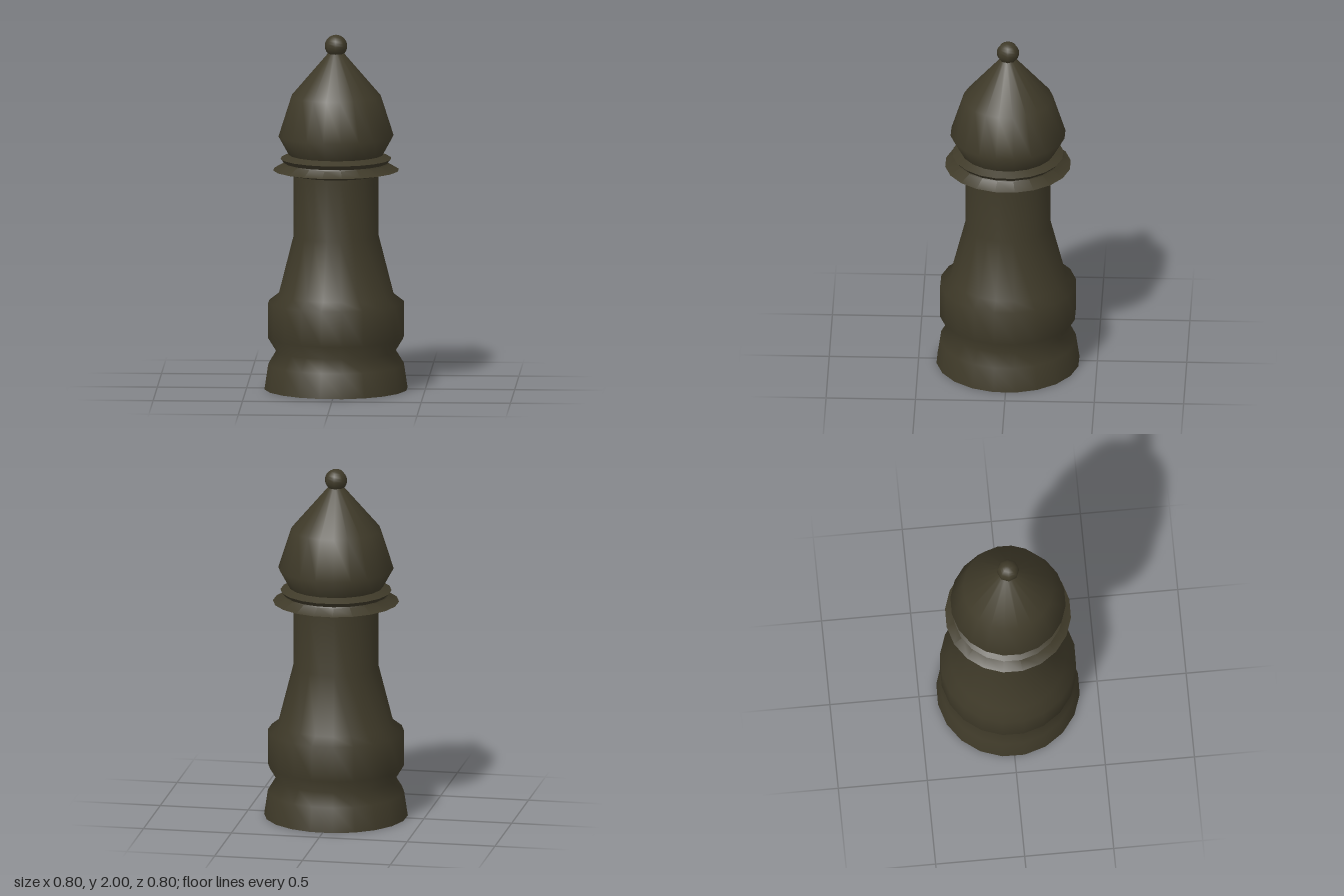
import * as THREE from 'three';
import { toCreasedNormals } from 'three/addons/utils/BufferGeometryUtils.js';

const SIDES = 20;
const TURN = THREE.MathUtils.degToRad(8.1); // angle of the first side's corner

export function createModel() {
  const group = new THREE.Group();
  group.name = 'chessPiece';
  const material = new THREE.MeshStandardMaterial({ color: 0x3f3a29 });

  const add = (name, geometry) => {
    const mesh = new THREE.Mesh(geometry, material);
    mesh.name = name;
    group.add(mesh);
    return mesh;
  };

  // Turned part from [radius, height] pairs, bottom to top
  const turned = (profile) => new THREE.LatheGeometry(
    profile.map(([r, y]) => new THREE.Vector2(r, y)), SIDES, TURN);

  // Underside
  const bottom = add('baseBottom', new THREE.CircleGeometry(0.402, SIDES, TURN - Math.PI / 2));
  bottom.rotation.x = Math.PI / 2;

  // Foot, waist, drum and tapering stem
  add('body', turned([
    [0.402, 0], [0.381, 0.14], [0.335, 0.215], [0.381, 0.29], [0.381, 0.49],
    [0.323, 0.535], [0.239, 0.865], [0.239, 1.22],
  ]));

  // Sharp-edged double collar
  add('collar', toCreasedNormals(turned([
    [0.238, 1.212], [0.353, 1.237], [0.292, 1.272], [0.289, 1.278],
    [0.311, 1.302], [0.262, 1.326],
  ]), 0.6));

  // Pointed head
  add('head', turned([
    [0.262, 1.32], [0.323, 1.43], [0.251, 1.655], [0.045, 1.895], [0.001, 1.9],
  ]));

  // Ball on the tip
  add('finial', new THREE.SphereGeometry(0.063, 8, 12)).position.y = 1.937;

  return group;
}
